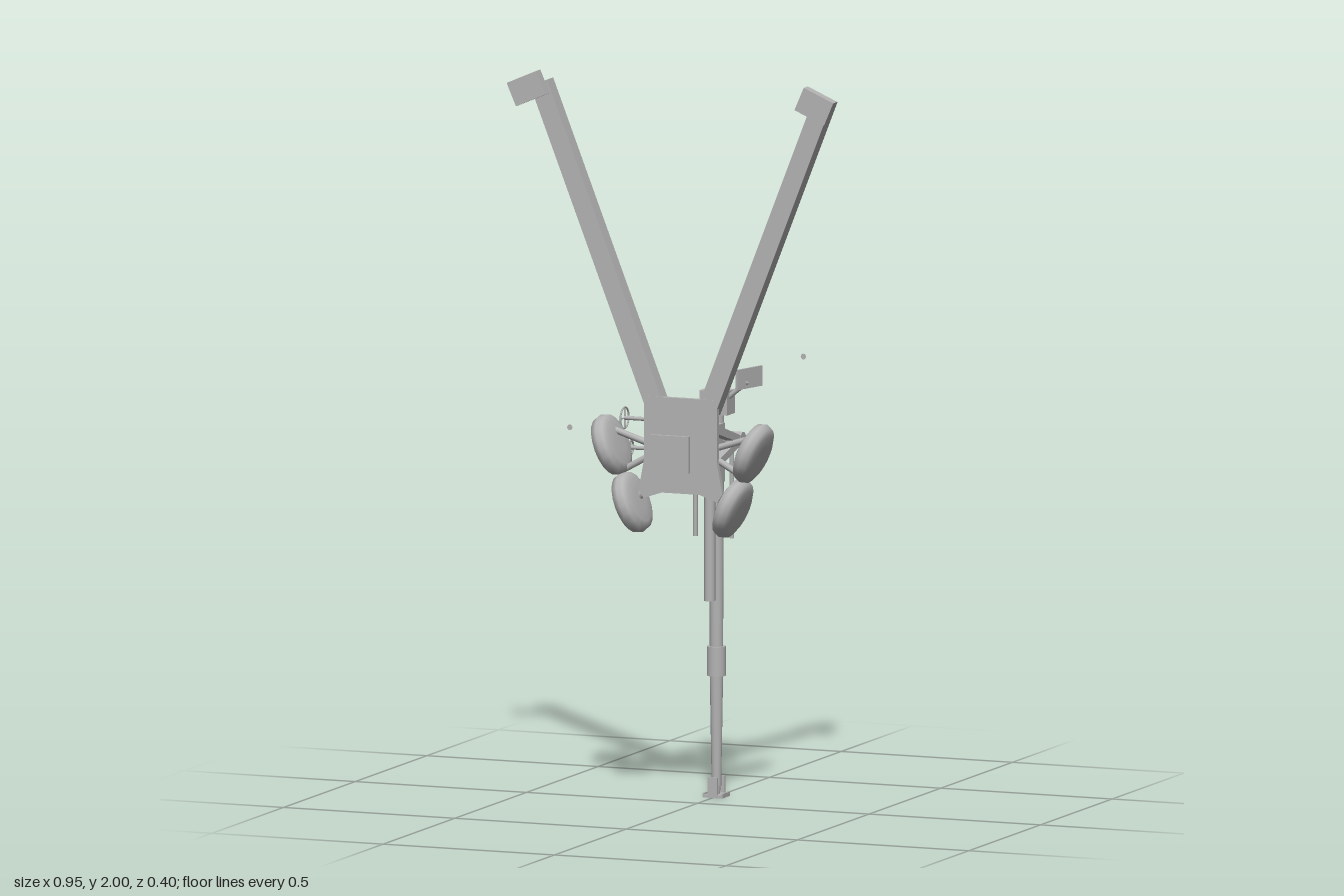
import * as THREE from 'three';

export function createModel() {
  const root = new THREE.Group();
  const grey = new THREE.MeshStandardMaterial({ color: 0xb4b4b4 });
  grey.name = 'plain grey';
  const flat = new THREE.MeshStandardMaterial({ color: 0xb4b4b4, side: THREE.DoubleSide });
  flat.name = 'plain grey thin';

  const add = (name, geo, x = 0, y = 0, z = 0, mat = grey) => {
    const m = new THREE.Mesh(geo, mat);
    m.name = name;
    m.position.set(x, y, z);
    root.add(m);
    return m;
  };
  const box = (name, w, h, d, x, y, z) => add(name, new THREE.BoxGeometry(w, h, d), x, y, z);
  // upright tube between two heights
  const tube = (name, y0, y1, r0, r1, x, z, n = 16) =>
    add(name, new THREE.CylinderGeometry(r1, r0, y1 - y0, n), x, (y0 + y1) / 2, z);
  // round bar between two points
  const rod = (name, a, b, r, n = 10) => {
    const p = new THREE.Vector3(...a), q = new THREE.Vector3(...b);
    const m = add(name, new THREE.CylinderGeometry(r, r, p.distanceTo(q), n));
    m.position.copy(p).lerp(q, 0.5);
    m.quaternion.setFromUnitVectors(new THREE.Vector3(0, 1, 0), q.sub(p).normalize());
    return m;
  };
  const poly = (pts) => new THREE.Shape(pts.map(p => new THREE.Vector2(...p)));

  const gunZ = -0.13;

  // barrel, pointing straight down
  tube('upperBarrel', 0.41, 1.06, 0.018, 0.021, 0, gunZ);
  tube('barrelSleeve', 0.33, 0.41, 0.026, 0.026, 0, gunZ);
  tube('lowerBarrel', 0.03, 0.33, 0.013, 0.018, 0, gunZ);

  // muzzle brake: end plate, cheeks and low lips
  box('muzzlePlate', 0.056, 0.008, 0.056, 0, 0.004, gunZ);
  for (const s of [-1, 1]) {
    box('muzzleCheek', 0.028, 0.055, 0.006, 0, 0.0275, gunZ + s * 0.027);
    box('muzzleLip', 0.005, 0.012, 0.05, s * 0.027, 0.006, gunZ);
  }
  tube('muzzleCore', 0.005, 0.035, 0.009, 0.012, 0, gunZ);

  // breech and trunnion
  box('breechBlock', 0.08, 0.065, 0.058, 0, 1.075, -0.136);
  rod('trunnion', [-0.076, 0.977, -0.135], [0.076, 0.977, -0.135], 0.02, 16);
  box('cradle', 0.05, 0.16, 0.05, 0, 0.94, -0.105);

  // recoil tube and balancing cylinders
  tube('recoilTube', 0.54, 0.985, 0.015, 0.015, 0, -0.083);
  for (const s of [-1, 1]) tube('balanceCylinder', 0.71, 0.985, 0.0065, 0.0065, s * 0.053, -0.11, 10);

  // body plate
  const bodyHalf = [[0.106, 1.12], [0.106, 0.95], [0.122, 0.865], [0.108, 0.842], [0.055, 0.86]];
  const outline = [...bodyHalf, ...bodyHalf.map(([x, y]) => [-x, y]).reverse()];
  add('bodyPlate', new THREE.ExtrudeGeometry(poly(outline), { depth: 0.014, bevelEnabled: false }), 0, 0, 0.107);
  box('traverseBox', 0.09, 0.14, 0.025, 0, 0.98, 0.1);

  // firing jack in front of the body
  rod('jackStem', [0, 0.98, 0.12], [0, 0.98, 0.187], 0.016, 14);
  box('jackPlate', 0.11, 0.1, 0.011, 0, 0.978, 0.191);

  // open saddle cheeks from body to trunnion
  const cheek = poly([[0.11, 1.06], [-0.12, 0.99], [-0.14, 0.977], [-0.12, 0.962], [0.11, 0.9]]);
  cheek.holes.push(poly([[0.09, 1.03], [0.09, 0.93], [-0.085, 0.973], [-0.085, 0.979]]));
  const cheekGeo = new THREE.ExtrudeGeometry(cheek, { depth: 0.03, bevelEnabled: false });
  cheekGeo.rotateY(-Math.PI / 2).translate(0.015, 0, 0);

  // domed wheel profile
  const wheelGeo = new THREE.LatheGeometry(
    [[0, -0.027], [0.03, -0.027], [0.062, -0.025], [0.08, -0.017], [0.086, 0], [0.08, 0.017],
      [0.062, 0.025], [0.03, 0.027], [0, 0.027]].map(p => new THREE.Vector2(...p)), 20);

  const tilt = 0.374;
  for (const s of [-1, 1]) {
    add('saddleCheek', cheekGeo, s * 0.06, 0, 0);

    // spread trails and their spades
    const trail = box('trail', 0.053, 0.935, 0.043, s * 0.244, 1.52, 0.098);
    trail.rotation.z = -s * tilt;
    const spade = box('spade', 0.094, 0.068, 0.029, s * 0.42, 1.949, 0.18);
    spade.rotation.z = -s * 0.41;

    // paired wheels and their arms
    for (const [x, y] of [[0.207, 0.98], [0.147, 0.827]]) {
      add('wheel', wheelGeo, s * x, y, 0.107).rotation.z = -s * tilt - Math.PI / 2;
    }
    rod('upperAxleArm', [s * 0.09, 0.985, 0.1], [s * 0.2, 1.02, 0.1], 0.009);
    rod('middleAxleArm', [s * 0.09, 0.96, 0.1], [s * 0.18, 0.91, 0.1], 0.009);
    rod('lowerAxleArm', [s * 0.09, 0.88, 0.1], [s * 0.147, 0.827, 0.1], 0.011);
  }

  // laying handwheels on the right side
  for (const [y, z, r, x] of [[1.035, -0.015, 0.029, -0.22], [0.956, -0.01, 0.019, -0.2]]) {
    rod('handwheelShaft', [-0.07, y, z], [x, y, z], 0.0055);
    add('handwheelRim', new THREE.TorusGeometry(r, 0.0025, 6, 20), x, y, z).rotation.y = Math.PI / 2;
    for (let i = 0; i < 2; i++) {
      const a = i * Math.PI / 2, c = Math.cos(a) * r, d = Math.sin(a) * r;
      rod('handwheelSpoke', [x, y - c, z - d], [x, y + c, z + d], 0.002, 6);
    }
  }

  // slanted sight plate on the left side
  box('sightPlate', 0.006, 0.055, 0.108, 0.09, 1.144, -0.143).rotation.y = -0.28;
  rod('sightBracket', [0.035, 1.09, -0.13], [0.09, 1.135, -0.13], 0.007);

  // small detached discs
  for (const [x, y] of [[-0.29, 1.035], [0.392, 1.268]]) {
    add('smallDisc', new THREE.CircleGeometry(0.008, 10), x, y, 0.2, flat);
  }
  return root;
}
